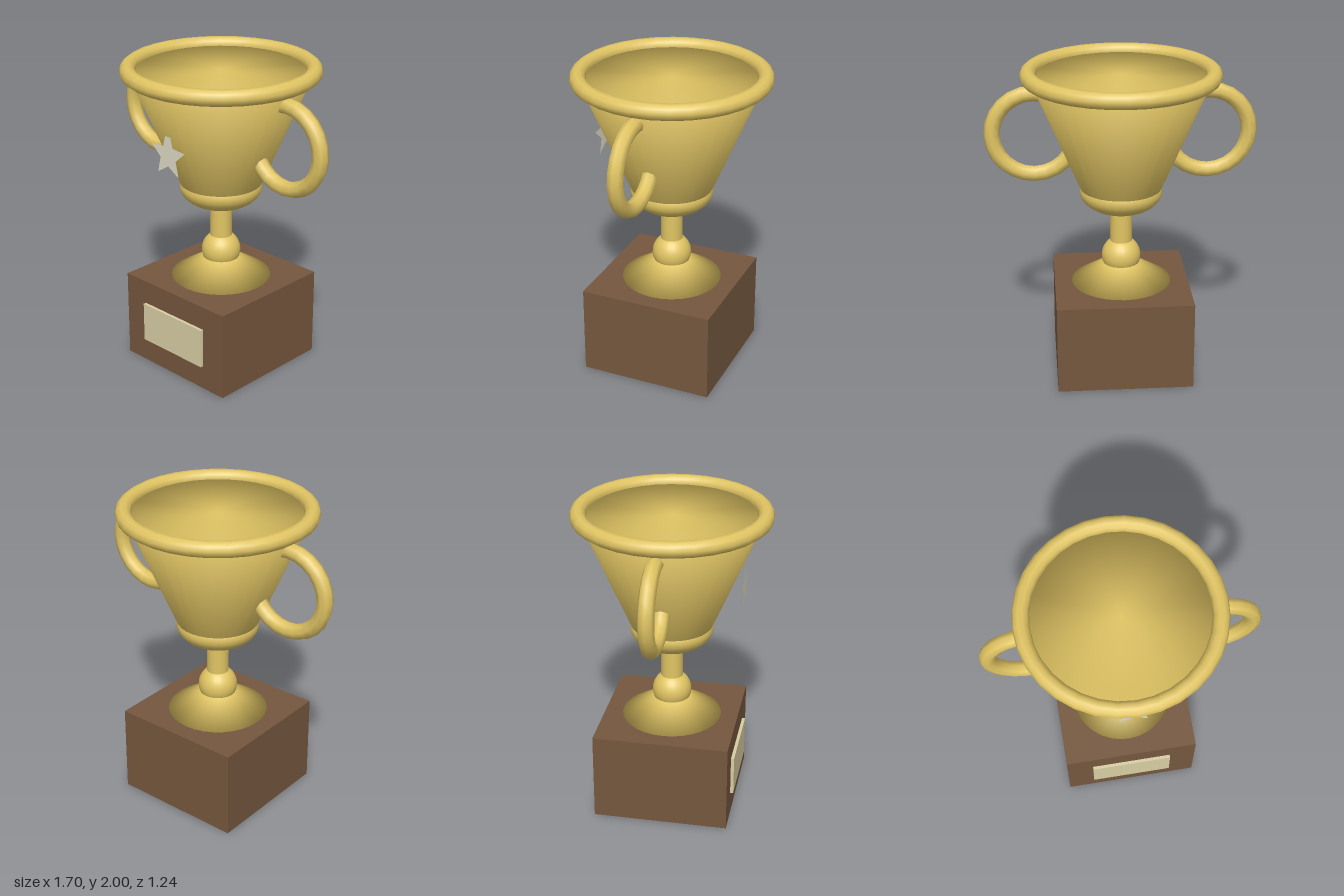
import * as THREE from 'three';
import { mergeVertices } from 'three/addons/utils/BufferGeometryUtils.js';

const mat = (name, color, side = THREE.FrontSide) => {
  const m = new THREE.MeshStandardMaterial({ color, side });
  m.name = name;
  return m;
};

// Weld a solid so its shading rolls softly over the rims
function soften(geometry) {
  geometry.deleteAttribute('normal');
  geometry.deleteAttribute('uv');
  const welded = mergeVertices(geometry, 1e-4);
  welded.computeVertexNormals();
  return welded;
}

export function createModel() {
  const trophy = new THREE.Group();
  trophy.name = 'trophy';
  const gold = mat('gold', 0xe0c463);
  const wood = mat('wood', 0x75573e);
  const brass = mat('pale brass', 0xd8cea3);
  const silver = mat('silver', 0xe0dbc5, THREE.DoubleSide);

  const add = (name, geometry, material, x = 0, y = 0, z = 0) => {
    const mesh = new THREE.Mesh(geometry, material);
    mesh.name = name;
    mesh.position.set(x, y, z);
    trophy.add(mesh);
    return mesh;
  };
  // Round solid between two heights
  const frustum = (name, rTop, rBottom, y0, y1) =>
    add(name, soften(new THREE.CylinderGeometry(rTop, rBottom, y1 - y0, 32)), gold, 0, (y0 + y1) / 2);

  // Wooden block with its plaque
  add('base', new THREE.BoxGeometry(0.86, 0.575, 0.86), wood, 0, 0.2875);
  add('plaque', new THREE.BoxGeometry(0.52, 0.26, 0.02), brass, 0, 0.29, 0.44);

  // Foot, knob and stem
  frustum('foot', 0.115, 0.32, 0.575, 0.705);
  add('knob', new THREE.SphereGeometry(0.125, 24, 16), gold, 0, 0.75);
  add('stem', new THREE.CylinderGeometry(0.07, 0.07, 0.3, 24), gold, 0, 0.95);

  // Cup: rounded underside, flaring body and rolled rim
  add('cupBottom', new THREE.SphereGeometry(0.262, 32, 16).scale(1, 0.54, 1), gold, 0, 1.19);
  frustum('cupBody', 0.57, 0.255, 1.21, 1.95);
  add('rim', new THREE.TorusGeometry(0.57, 0.05, 10, 32).rotateX(Math.PI / 2), gold, 0, 1.95);

  // Ring handles
  for (const [name, side] of [['leftHandle', 1], ['rightHandle', -1]]) {
    add(name, new THREE.TorusGeometry(0.26, 0.05, 8, 24), gold, side * 0.54, 1.58);
  }

  // Flat star with a blunt top point
  const star = new THREE.Shape();
  star.moveTo(-0.022, 0.12);
  star.lineTo(0.022, 0.12);
  for (let i = 1; i < 10; i++) {
    const r = i % 2 ? 0.068 : 0.15;
    const a = Math.PI / 2 - (i * Math.PI) / 5;
    star.lineTo(r * Math.cos(a), r * Math.sin(a));
  }
  star.closePath();
  add('star', new THREE.ShapeGeometry(star), silver, 0, 1.51, 0.455);

  return trophy;
}
